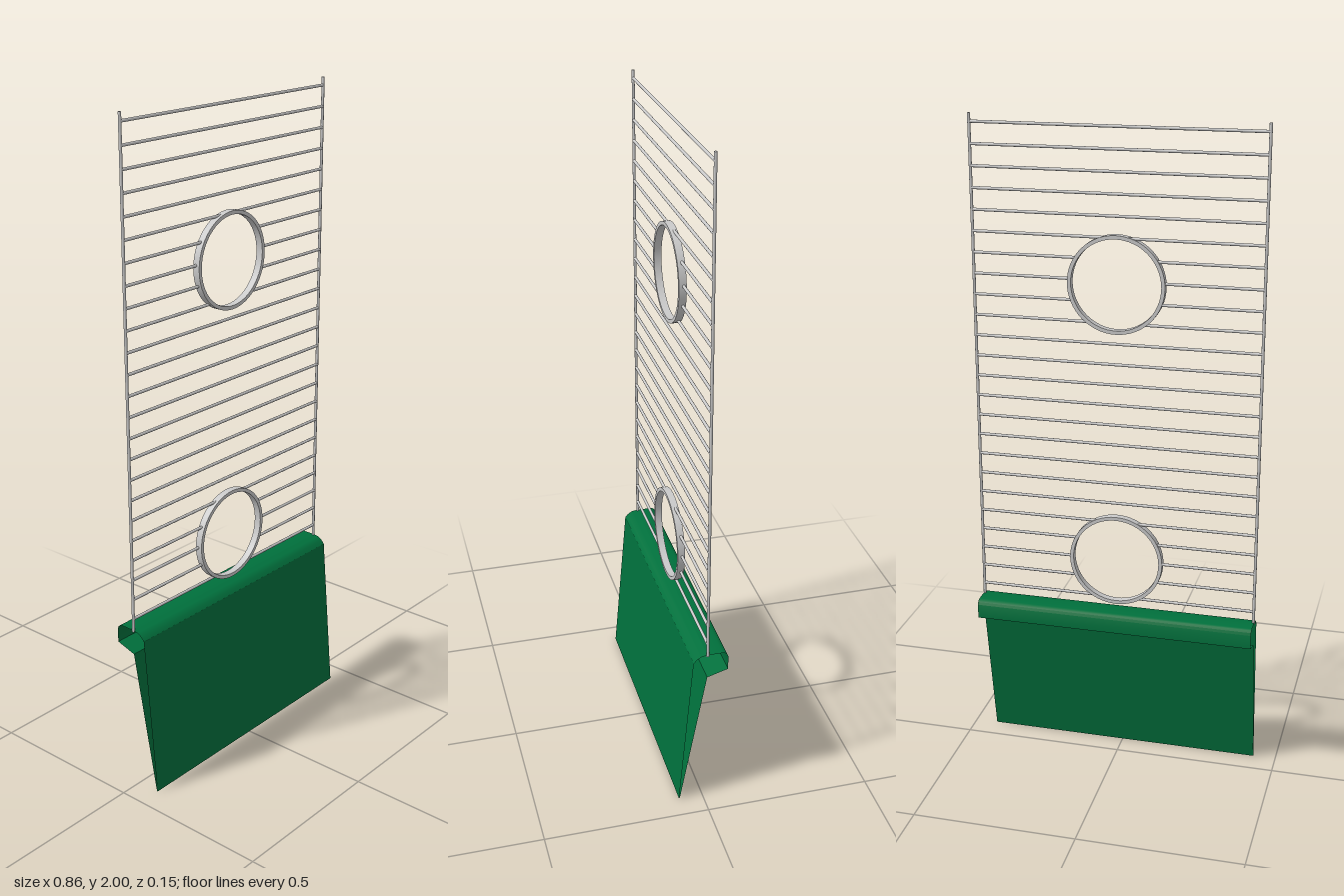
import * as THREE from 'three';
import { toCreasedNormals } from 'three/addons/utils/BufferGeometryUtils.js';

const WIDTH = 0.86, WIRE_Z = -0.0115, WIRE_R = 0.0045;
const RING_R = 0.144, RING_INNER = 0.133, RING_DEPTH = 0.022;
const RING_YS = [1.531, 0.674];

export function createModel() {
  const model = new THREE.Group();
  model.name = 'wirePanel';

  const steel = new THREE.MeshStandardMaterial({ color: 0xcacaca });
  steel.name = 'steel';
  const green = new THREE.MeshStandardMaterial({ color: 0x00703c, side: THREE.DoubleSide });
  green.name = 'green sheet';

  const add = (name, geometry, material, x = 0, y = 0, z = 0) => {
    const mesh = new THREE.Mesh(geometry, material);
    mesh.name = name;
    mesh.position.set(x, y, z);
    model.add(mesh);
    return mesh;
  };

  // Upright wires along both sides
  const end = WIDTH / 2 - 0.003;
  for (const side of [-1, 1]) {
    add('uprightWire', new THREE.CylinderGeometry(WIRE_R, WIRE_R, 1.49, 12), steel,
      side * end, 1.255, WIRE_Z);
  }

  // Cross wires, cut where they meet a ring
  const crossWire = (x0, x1, y) => {
    const wire = add('crossWire', new THREE.CylinderGeometry(WIRE_R, WIRE_R, x1 - x0, 12),
      steel, (x0 + x1) / 2, y, WIRE_Z);
    wire.rotation.z = Math.PI / 2;
  };
  for (let i = 0; i < 24; i++) {
    const y = 0.551 + i * 0.06196;
    const ringY = RING_YS.find((c) => Math.abs(y - c) < 0.14);
    if (ringY === undefined) {
      crossWire(-end, end, y);
    } else {
      const cut = Math.sqrt(0.14 ** 2 - (y - ringY) ** 2);
      crossWire(-end, -cut, y);
      crossWire(cut, end, y);
    }
  }

  // Flat-walled rings around the two openings
  const h = RING_DEPTH / 2;
  const section = [
    [RING_INNER, -h], [RING_R, -h], [RING_R, h], [RING_INNER, h], [RING_INNER, -h],
  ].map(([r, y]) => new THREE.Vector2(r, y));
  const ringGeometry = toCreasedNormals(new THREE.LatheGeometry(section, 64), 0.6);
  for (const y of RING_YS) {
    const ring = add('openingRing', ringGeometry, steel, 0, y, -0.009);
    ring.rotation.x = Math.PI / 2;
  }

  // Folded sheet, open at the ends: back panel up from the foot, return lip,
  // back drop, top, shoulder, front panel down to the foot [z, y]
  const profile = [
    [0.071, 0], [-0.01, 0.437], [-0.073, 0.456], [-0.073, 0.5], [-0.07, 0.508],
    [-0.064, 0.513], [-0.056, 0.515], [-0.01, 0.515], [0.008, 0.512], [0.022, 0.503],
    [0.031, 0.492], [0.073, 0],
  ];
  const sheet = new THREE.PlaneGeometry(WIDTH, 1, 1, profile.length - 1);
  const pos = sheet.attributes.position;
  for (let i = 0; i < pos.count; i++) {
    const [z, y] = profile[Math.floor(i / 2)];
    pos.setXYZ(i, pos.getX(i), y, z);
  }
  add('foldedSheet', toCreasedNormals(sheet, 0.55), green);

  return model;
}
